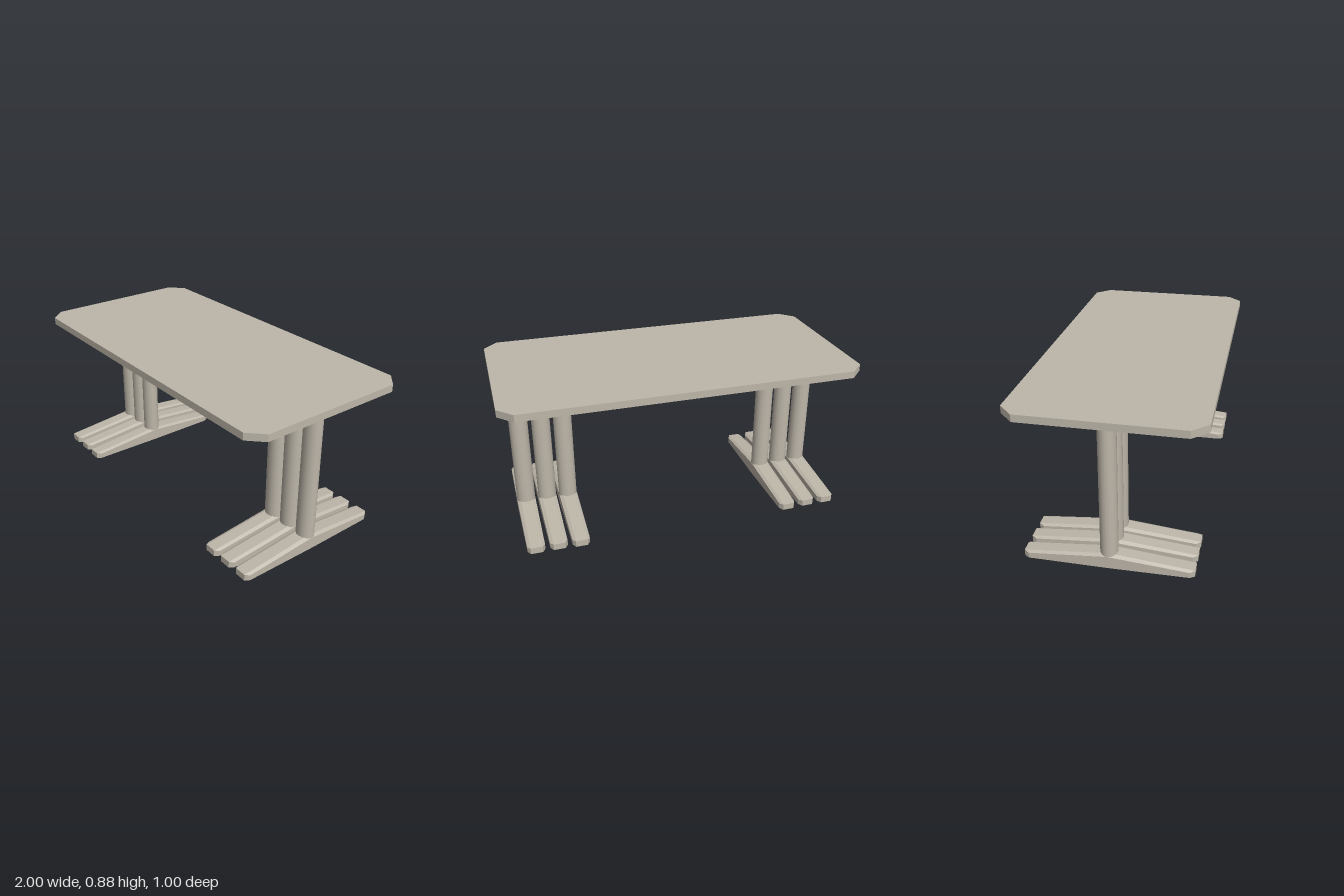
import * as THREE from 'three';

const stone = new THREE.MeshStandardMaterial({ color: 0xbdb6a9 });
stone.name = 'warm grey';
const shell = new THREE.MeshStandardMaterial({ color: 0xbdb6a9, side: THREE.DoubleSide });
shell.name = 'warm grey shell';

// Rectangular slab with cut corners
function tabletop() {
  const c = 0.08, w = 1, d = 0.5;
  const shape = new THREE.Shape([
    [-w + c, -d], [w - c, -d], [w, -d + c], [w, d - c],
    [w - c, d], [-w + c, d], [-w, d - c], [-w, -d + c],
  ].map(([x, y]) => new THREE.Vector2(x, y)));
  const geo = new THREE.ExtrudeGeometry(shape, { depth: 0.04, bevelEnabled: false });
  geo.rotateX(-Math.PI / 2);
  const mesh = new THREE.Mesh(geo, stone);
  mesh.name = 'tabletop';
  mesh.position.y = 0.845;
  return mesh;
}

// Hollow foot, open below: sections along z of [z, half width, edge height, ridge height]
function footGeometry() {
  const sections = [
    [-0.451, 0.033, 0.037, 0.037],
    [-0.425, 0.049, 0.031, 0.0395],
    [0, 0.053, 0.07, 0.08],
    [0.425, 0.049, 0.031, 0.0395],
    [0.451, 0.033, 0.037, 0.037],
  ].map(([z, w, edge, ridge]) => [
    [w, 0, z], [w, edge, z], [0.033, ridge, z],
    [-0.033, ridge, z], [-w, edge, z], [-w, 0, z],
  ]);
  const pos = [];
  const quad = (a, b, c, d) => pos.push(...a, ...b, ...c, ...a, ...c, ...d);
  for (let i = 0; i < sections.length - 1; i++) {
    const s = sections[i], t = sections[i + 1];
    for (let j = 0; j < 5; j++) quad(s[j], s[j + 1], t[j + 1], t[j]);
  }
  // blunt ends
  const first = sections[0], last = sections[sections.length - 1];
  quad(first[0], first[5], first[4], first[1]);
  quad(last[0], last[1], last[4], last[5]);
  const geo = new THREE.BufferGeometry();
  geo.setAttribute('position', new THREE.Float32BufferAttribute(pos, 3));
  geo.computeVertexNormals();
  return geo;
}

export function createModel() {
  const model = new THREE.Group();
  model.name = 'table';
  model.add(tabletop());

  const foot = footGeometry();
  const columnBottom = 0.03, columnTop = 0.846;
  const column = new THREE.CylinderGeometry(0.053, 0.053, columnTop - columnBottom, 16);
  column.scale(1, 1, 0.9);

  // Three columns with feet at each end; the inner ones sit slightly lower
  for (const side of [-1, 1]) {
    const trestle = new THREE.Group();
    trestle.name = side > 0 ? 'leftTrestle' : 'rightTrestle';
    [[0.626, 0], [0.75, 0.005], [0.875, 0.005]].forEach(([x, lift]) => {
      const post = new THREE.Mesh(column, stone);
      post.name = 'column';
      post.position.set(side * x, (columnTop + columnBottom) / 2, 0.005);
      const base = new THREE.Mesh(foot, shell);
      base.name = 'foot';
      base.position.set(side * x, lift, 0.005);
      trestle.add(post, base);
    });
    model.add(trestle);
  }
  return model;
}
